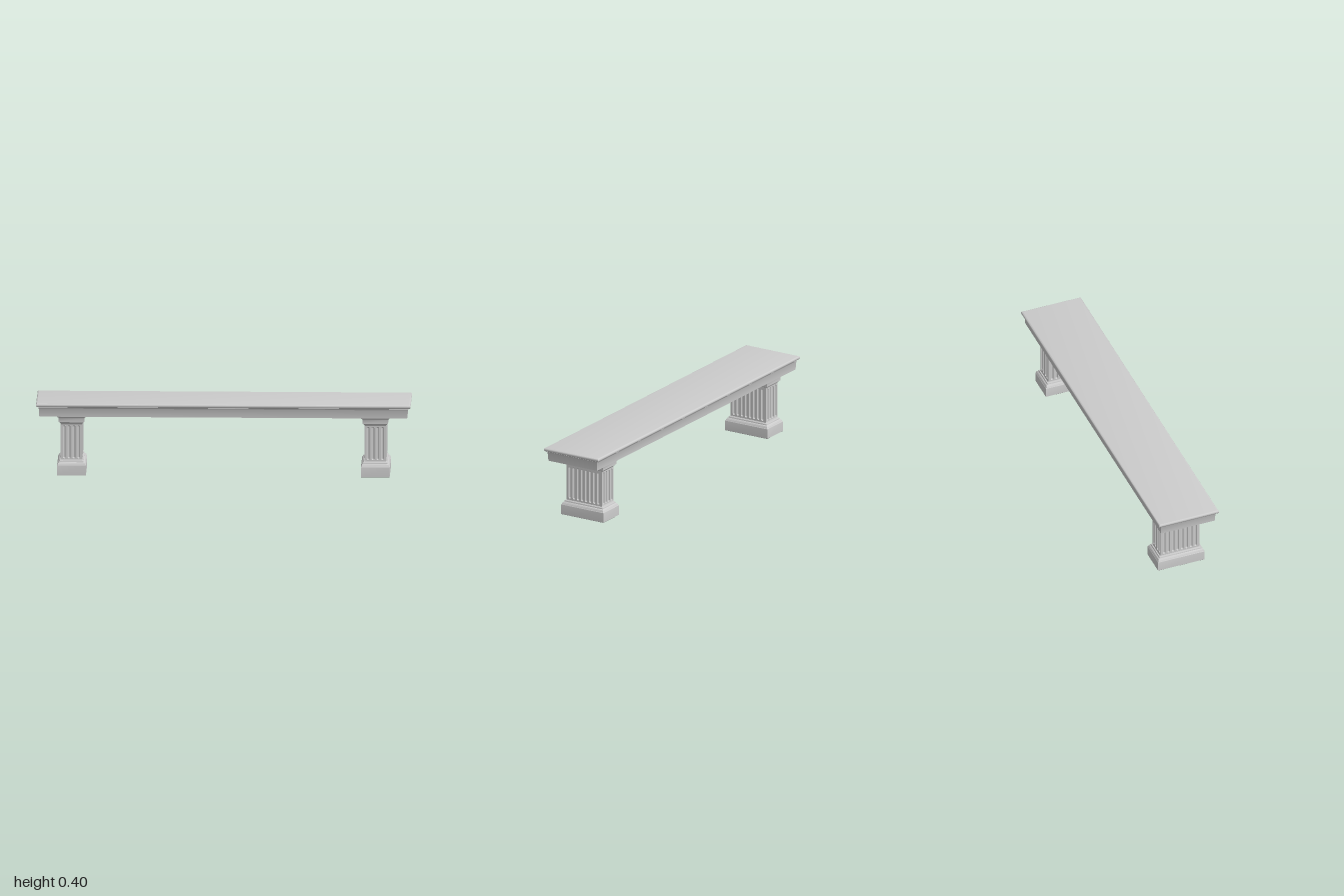
import * as THREE from 'three';
import { toCreasedNormals } from 'three/addons/utils/BufferGeometryUtils.js';

const stone = new THREE.MeshStandardMaterial({ color: 0xcccccc });
const hollow = new THREE.MeshStandardMaterial({ color: 0xcccccc, side: THREE.DoubleSide });

// Rectangular moulding: profile rows are [inset, y] from bottom to top, closed at both ends.
function moulding(name, halfX, halfZ, profile) {
  const pos = [], idx = [];
  for (const [inset, y] of profile) {
    const x = halfX - inset, z = halfZ - inset;
    pos.push(-x, y, z, x, y, z, x, y, -z, -x, y, -z);
  }
  for (let r = 0; r < profile.length - 1; r++) {
    for (let i = 0; i < 4; i++) {
      const a = r * 4 + i, b = r * 4 + (i + 1) % 4;
      idx.push(a, b, b + 4, a, b + 4, a + 4);
    }
  }
  const t = (profile.length - 1) * 4;
  idx.push(0, 2, 1, 0, 3, 2, t, t + 1, t + 2, t, t + 2, t + 3);
  const geo = new THREE.BufferGeometry();
  geo.setAttribute('position', new THREE.Float32BufferAttribute(pos, 3));
  geo.setIndex(idx);
  const mesh = new THREE.Mesh(toCreasedNormals(geo, 0.7), stone);
  mesh.name = name;
  return mesh;
}

const SHAFT = { bottom: 0.084, top: 0.284, halfX: 0.058, halfZ: 0.112 };
const FLUTE = { bottom: 0.09, top: 0.27, radius: 0.0078, pitch: 0.0258 };

// Half-round groove with rounded ends, sunk behind z = 0
function fluteGeometry() {
  const { bottom, top, radius: r } = FLUTE;
  const pts = [];
  for (let i = 0; i <= 5; i++) {
    const a = (i / 5) * Math.PI / 2;
    pts.push(new THREE.Vector2(r * Math.sin(a), bottom + r - r * Math.cos(a)));
  }
  for (let i = 0; i <= 5; i++) {
    const a = (i / 5) * Math.PI / 2;
    pts.push(new THREE.Vector2(r * Math.cos(a), top - r + r * Math.sin(a)));
  }
  return new THREE.LatheGeometry(pts, 8, Math.PI / 2, Math.PI);
}

// One face of the shaft: a flat panel pierced by slots, with a groove behind each slot
function flutedFace(halfWidth, count) {
  const face = new THREE.Group();
  face.name = 'flutedFace';
  const { bottom, top, radius: r, pitch } = FLUTE;
  const shape = new THREE.Shape([
    new THREE.Vector2(-halfWidth, SHAFT.bottom), new THREE.Vector2(halfWidth, SHAFT.bottom),
    new THREE.Vector2(halfWidth, SHAFT.top), new THREE.Vector2(-halfWidth, SHAFT.top),
  ]);
  const groove = fluteGeometry();
  for (let i = 0; i < count; i++) {
    const x = (i - (count - 1) / 2) * pitch;
    const slot = new THREE.Path();
    slot.absarc(x, top - r, r, 0, Math.PI, false);
    slot.absarc(x, bottom + r, r, Math.PI, Math.PI * 2, false);
    slot.closePath();
    shape.holes.push(slot);
    const flute = new THREE.Mesh(groove, hollow);
    flute.name = 'flute';
    flute.position.x = x;
    face.add(flute);
  }
  const panel = new THREE.Mesh(new THREE.ShapeGeometry(shape, 10), stone);
  panel.name = 'shaftPanel';
  face.add(panel);
  return face;
}

function pedestal(name) {
  const leg = new THREE.Group();
  leg.name = name;

  // Plinth block with stepped base moulding
  leg.add(moulding('plinth', 0.077, 0.134, [
    [0.002, 0], [0, 0.002], [0, 0.055], [0.003, 0.058], [0.004, 0.063], [0.007, 0.068],
    [0.013, 0.071], [0.013, 0.076], [0.015, 0.079], [0.02, 0.08], [0.022, 0.086],
  ]));

  // Fluted shaft: eight grooves on the broad sides, four on the narrow ones
  const shaft = new THREE.Group();
  shaft.name = 'flutedShaft';
  for (let i = 0; i < 4; i++) {
    const broad = i % 2 === 1;
    const face = flutedFace(broad ? SHAFT.halfZ : SHAFT.halfX, broad ? 8 : 4);
    const d = broad ? SHAFT.halfX : SHAFT.halfZ;
    face.rotation.y = i * Math.PI / 2;
    face.position.set(Math.sin(face.rotation.y) * d, 0, Math.cos(face.rotation.y) * d);
    shaft.add(face);
  }
  leg.add(shaft);

  // Capital flaring up to the seat
  leg.add(moulding('capital', 0.077, 0.134, [
    [0.022, 0.276], [0.02, 0.281], [0.016, 0.284], [0.014, 0.289], [0.009, 0.29], [0.009, 0.311],
    [0.007, 0.315], [0.002, 0.319], [0, 0.323], [0, 0.327],
  ]));
  return leg;
}

export function createModel() {
  const bench = new THREE.Group();
  bench.name = 'stoneBench';

  // Seat slab: tapered fascia, cove, and a rounded projecting edge
  const seat = [[0.018, 0.326], [0.015, 0.371], [0.013, 0.376], [0.008, 0.379]];
  for (let i = 0; i <= 8; i++) {
    const a = -Math.PI / 2 + (i / 8) * Math.PI;
    seat.push([0.009 - 0.009 * Math.cos(a), 0.39 + 0.01 * Math.sin(a)]);
  }
  bench.add(moulding('seatSlab', 1, 0.172, seat));

  for (const side of [-1, 1]) {
    const leg = pedestal(side > 0 ? 'leftPedestal' : 'rightPedestal');
    leg.position.x = side * 0.811;
    bench.add(leg);
  }
  return bench;
}
